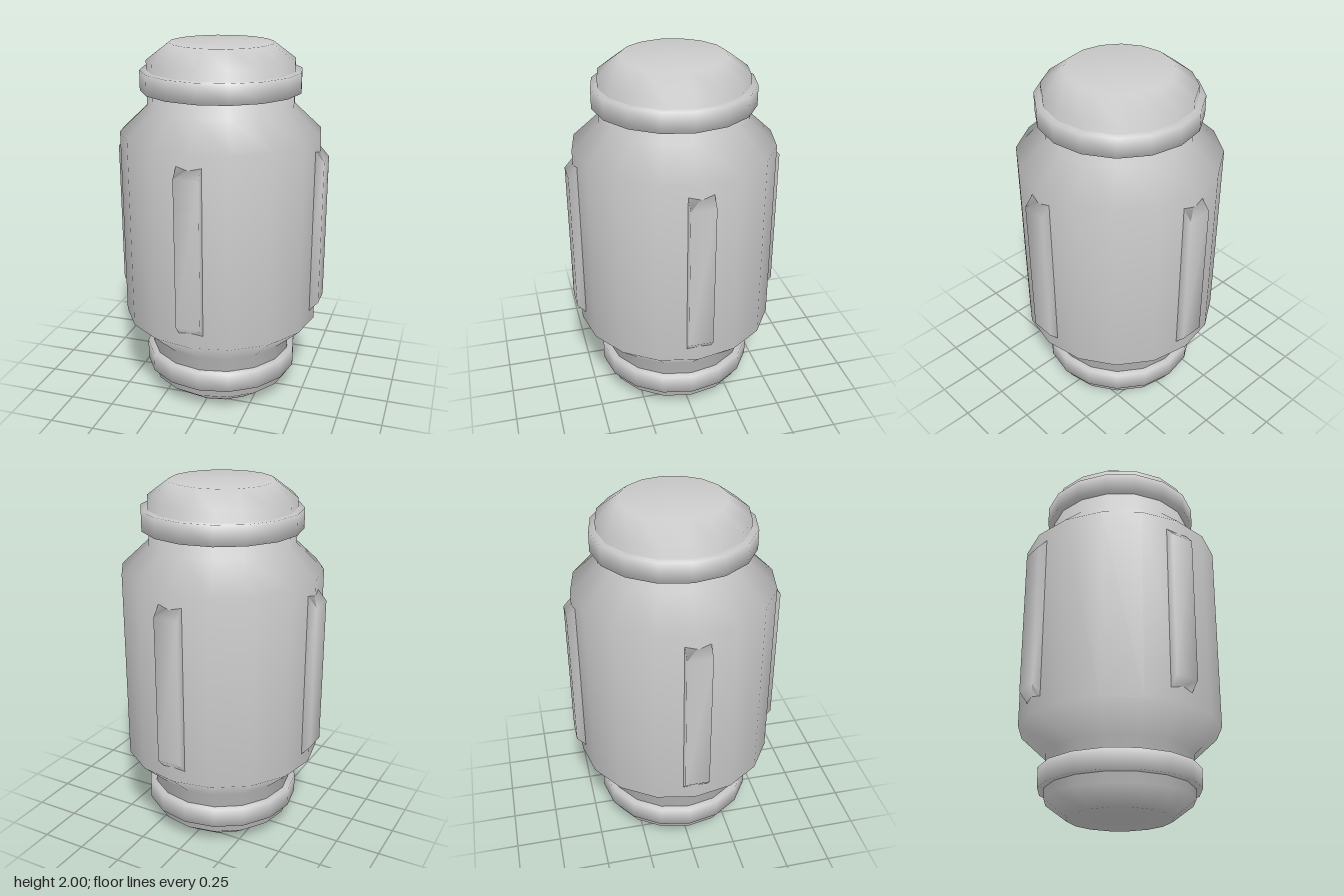
import * as THREE from 'three';
import { mergeVertices } from 'three/addons/utils/BufferGeometryUtils.js';

const SIDES = 16;
const material = new THREE.MeshStandardMaterial({ color: 0xcccccc });

function addMesh(group, name, geometry) {
  const mesh = new THREE.Mesh(geometry, material);
  mesh.name = name;
  group.add(mesh);
  return mesh;
}

// Smooth 16-sided turned part from [radius, y] pairs, bottom to top
function turned(profile) {
  return new THREE.LatheGeometry(profile.map(([r, y]) => new THREE.Vector2(r, y)), SIDES);
}

// Upright bar along +z whose outer face is shortened, with soft normals
function ribGeometry() {
  const inner = 0.5, outer = 0.585;
  let g = new THREE.BoxGeometry(0.134, 1, outer - inner);
  const p = g.attributes.position;
  for (let i = 0; i < p.count; i++) {
    const isOuter = p.getZ(i) > 0;
    p.setY(i, Math.sign(p.getY(i)) * (isOuter ? 0.405 : 0.5));
    p.setZ(i, isOuter ? outer : inner);
  }
  g.deleteAttribute('normal');
  g.deleteAttribute('uv');
  g = mergeVertices(g);
  g.computeVertexNormals();
  return g;
}

export function createModel() {
  const model = new THREE.Group();
  model.name = 'canister';

  // Body with bevelled ends, necks and shoulders
  addMesh(model, 'body', turned([
    [0, 0], [0.28, 0], [0.4, 0.09], [0.4, 0.33], [0.55, 0.47],
    [0.55, 1.53], [0.4, 1.67], [0.4, 1.91], [0.28, 2], [0, 2],
  ]));

  // Collar bands around both necks
  const band = turned([[0.37, -0.054], [0.436, -0.054], [0.436, 0.054], [0.37, 0.054]]);
  addMesh(model, 'lowerBand', band).position.y = 0.2;
  addMesh(model, 'upperBand', band).position.y = 1.804;

  // Four ribs around the barrel
  const rib = ribGeometry();
  ['frontRib', 'leftRib', 'backRib', 'rightRib'].forEach((name, i) => {
    const mesh = addMesh(model, name, rib);
    mesh.position.y = 1.003;
    mesh.rotation.y = i * Math.PI / 2;
  });

  return model;
}
